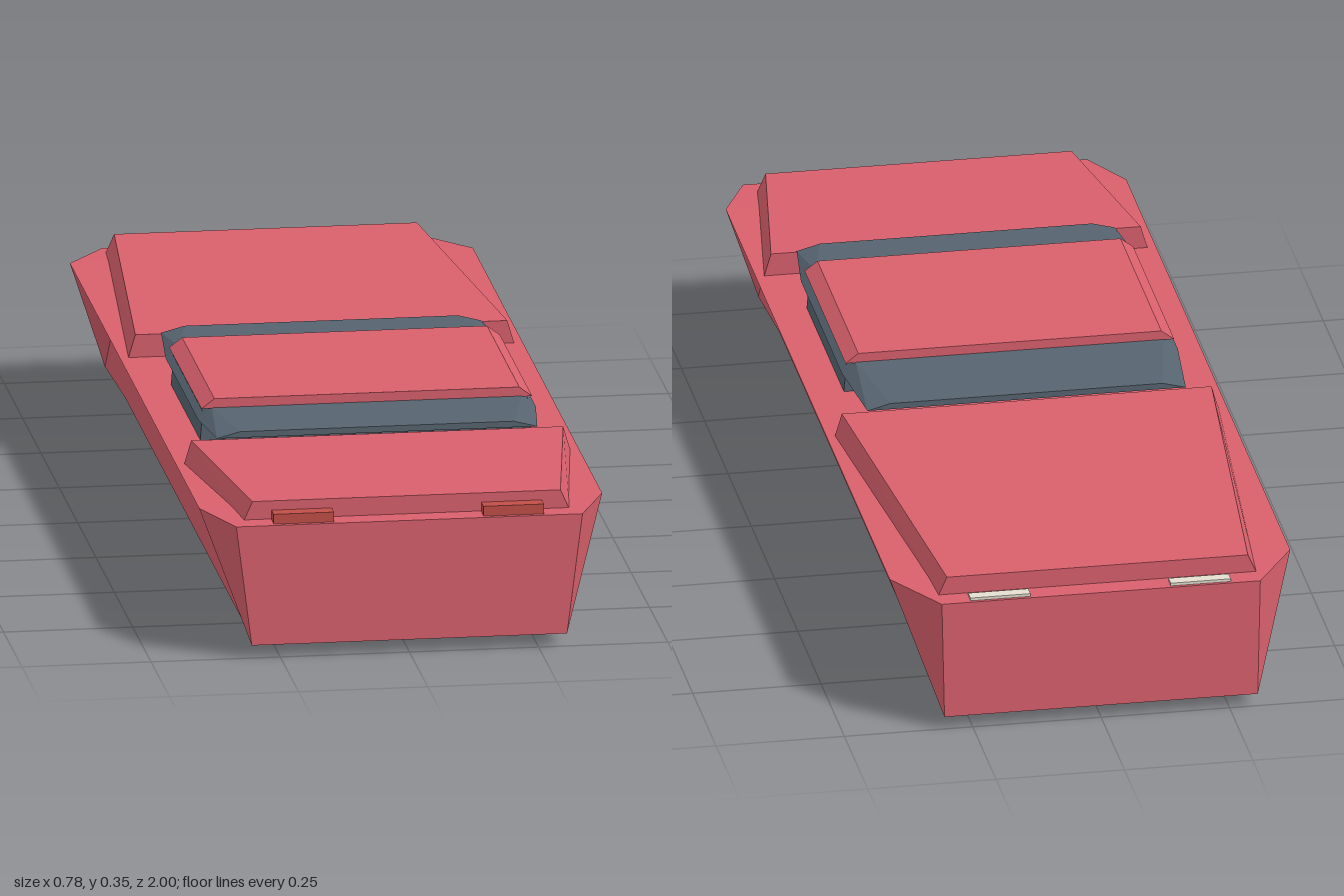
import * as THREE from 'three';

const material = (color) => new THREE.MeshStandardMaterial({ color, flatShading: true });

// Mirrored loft. Each section is { z, p }, with p the +x half profile
// running from bottom centre, outwards and up to top centre.
function loft(name, mat, sections) {
  const pos = [];
  const tri = (a, b, c) => {
    pos.push(...a, ...b, ...c);
    for (const [x, y, z] of [a, c, b]) pos.push(-x, y, z);
  };
  const rings = sections.map(({ z, p }) => p.map(([x, y]) => [x, y, z]));
  for (let s = 0; s < rings.length - 1; s++) {
    const a = rings[s], b = rings[s + 1];
    const front = sections[s].z + sections[s + 1].z > 0;
    for (let i = 0; i < a.length - 1; i++) {
      if (front) {
        tri(a[i], a[i + 1], b[i]);
        tri(a[i + 1], b[i + 1], b[i]);
      } else {
        tri(a[i], a[i + 1], b[i + 1]);
        tri(a[i], b[i + 1], b[i]);
      }
    }
  }
  // end caps
  const back = rings[0], face = rings[rings.length - 1];
  for (let i = 1; i < face.length - 1; i++) {
    tri(back[0], back[i + 1], back[i]);
    tri(face[0], face[i], face[i + 1]);
  }
  const geometry = new THREE.BufferGeometry();
  geometry.setAttribute('position', new THREE.Float32BufferAttribute(pos, 3));
  geometry.computeVertexNormals();
  const mesh = new THREE.Mesh(geometry, mat);
  mesh.name = name;
  return mesh;
}

// Tapered slab section: base half width and height, top half width and height
const slab = (z, bx, by, tx, ty) => ({ z, p: [[0, by], [bx, by], [tx, ty], [0, ty]] });

export function createModel() {
  const car = new THREE.Group();
  car.name = 'car';
  const paint = material(0xd8606c);
  const glass = material(0x566470);
  const frontLamp = material(0xc04f48);
  const rearLamp = material(0xe4ded0);

  // Lower body: upright sides under an overhanging rim, chamfered ends
  const end = (z, topX) => ({ z, p: [[0, 0.025], [0.305, 0.025], [0.305, 0.025], [topX, 0.262], [0, 0.262]] });
  const middle = (z) => ({ z, p: [[0, 0], [0.285, 0], [0.285, 0.25], [0.39, 0.268], [0, 0.268]] });
  car.add(loft('body', paint, [end(-1, 0.31), middle(-0.88), middle(0.88), end(1, 0.335)]));

  // Bonnet and boot panels
  car.add(loft('bonnet', paint, [
    slab(0.56, 0.375, 0.262, 0.36, 0.313),
    slab(0.96, 0.315, 0.262, 0.298, 0.3),
  ]));
  car.add(loft('boot', paint, [
    slab(-0.96, 0.31, 0.262, 0.293, 0.3),
    slab(-0.2, 0.375, 0.262, 0.36, 0.313),
  ]));

  // Cabin core, with the glass canopy cantilevered fore and aft
  car.add(loft('cabin', glass, [
    slab(0, 0.32, 0.262, 0.315, 0.325),
    slab(0.4, 0.32, 0.262, 0.315, 0.325),
  ]));
  car.add(loft('windscreens', glass, [
    slab(-0.2, 0.31, 0.315, 0.265, 0.327),
    slab(-0.02, 0.327, 0.315, 0.3, 0.337),
    slab(0.42, 0.327, 0.315, 0.3, 0.337),
    slab(0.56, 0.31, 0.315, 0.265, 0.327),
  ]));

  // Roof panel
  car.add(loft('roof', paint, [
    slab(-0.02, 0.32, 0.336, 0.295, 0.355),
    slab(0.42, 0.32, 0.336, 0.295, 0.355),
  ]));

  // Lamps
  for (const side of [-1, 1]) {
    const front = new THREE.Mesh(new THREE.BoxGeometry(0.117, 0.022, 0.03), frontLamp);
    front.name = 'frontLamp';
    front.position.set(side * 0.203, 0.271, 0.977);
    const rear = new THREE.Mesh(new THREE.BoxGeometry(0.117, 0.01, 0.024), rearLamp);
    rear.name = 'rearLamp';
    rear.position.set(side * 0.195, 0.263, -0.982);
    car.add(front, rear);
  }
  return car;
}
